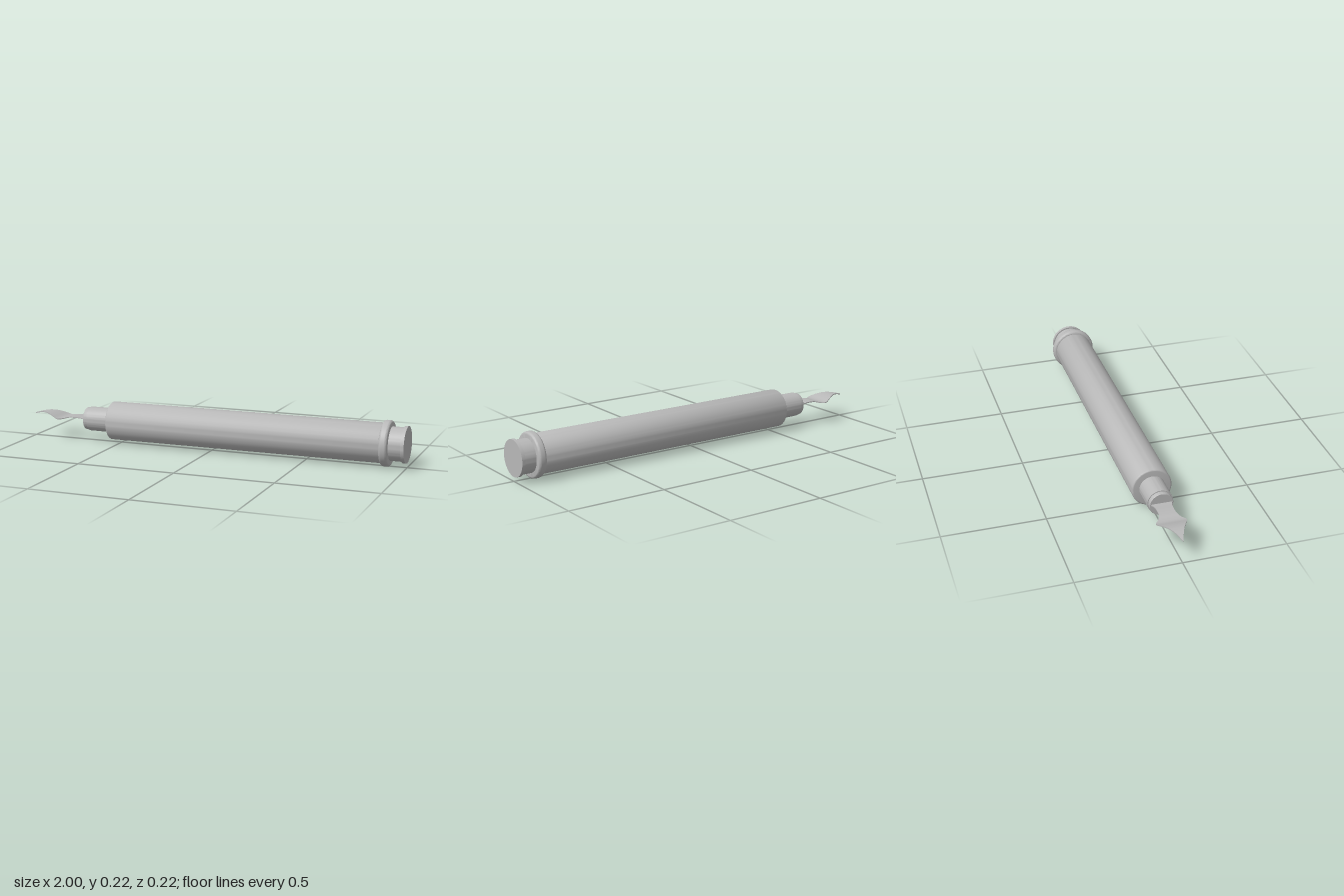
import * as THREE from 'three';
import { toCreasedNormals } from 'three/addons/utils/BufferGeometryUtils.js';

const AXIS_Y = 0.113;

export function createModel() {
  const group = new THREE.Group();
  const grey = new THREE.MeshStandardMaterial({ color: 0xb8b8b8, side: THREE.DoubleSide });
  grey.name = 'grey';

  // Turned part along x, from [x, radius] pairs running left to right
  function turned(name, profile) {
    const points = profile.map(([x, r]) => new THREE.Vector2(r, x));
    const lathe = new THREE.LatheGeometry(points, 64);
    lathe.rotateZ(-Math.PI / 2);
    const mesh = new THREE.Mesh(toCreasedNormals(lathe, 0.6), grey);
    mesh.name = name;
    mesh.position.y = AXIS_Y;
    group.add(mesh);
  }

  // Cylinder profile with rounded edges
  function rounded(x0, x1, r, bevel) {
    const profile = [[x0, 0]];
    for (let i = 0; i <= 5; i++) {
      const a = (i / 5) * Math.PI / 2;
      profile.push([x0 + bevel * (1 - Math.sin(a)), r - bevel * (1 - Math.cos(a))]);
    }
    const left = profile.slice(1).sort((a, b) => a[0] - b[0]);
    const right = left.map(([x, q]) => [x0 + x1 - x, q]).reverse();
    return [[x0, 0], ...left, ...right, [x1, 0]];
  }

  turned('barrel', rounded(-0.55, 0.9, 0.098, 0.008));
  turned('collar', rounded(0.88, 0.922, 0.112, 0.013));
  turned('neck', [[0.9, 0], [0.9, 0.083], [0.985, 0.083], [0.985, 0]]);
  turned('endCap', [[0.983, 0], [0.983, 0.09], [1, 0.09], [1, 0]]);
  turned('grip', [[-0.673, 0], [-0.673, 0.062], [-0.54, 0.063], [-0.54, 0]]);
  turned('ferrule', [[-0.695, 0], [-0.695, 0.056], [-0.69, 0.058], [-0.665, 0.058], [-0.665, 0]]);

  // Nib: thin wavy blade swept from [x, height, half width] stations
  const stations = [
    [-1, 0.119, 0.001], [-0.96, 0.13, 0.016], [-0.92, 0.134, 0.034],
    [-0.88, 0.127, 0.055], [-0.835, 0.112, 0.072], [-0.81, 0.112, 0.055],
    [-0.785, 0.118, 0.042], [-0.75, 0.12, 0.04], [-0.715, 0.119, 0.043],
    [-0.69, 0.119, 0.055],
  ];
  const heights = new THREE.CatmullRomCurve3(stations.map(([x, y]) => new THREE.Vector3(x, y, 0)));
  const widths = new THREE.CatmullRomCurve3(stations.map(([x, , w]) => new THREE.Vector3(x, w, 0)));
  const steps = 45;
  const nib = new THREE.BoxGeometry(1, 1, 1, steps, 1, 2);
  const pos = nib.attributes.position;
  for (let i = 0; i < pos.count; i++) {
    const t = THREE.MathUtils.clamp(pos.getX(i) + 0.5, 0, 1);
    const h = heights.getPoint(t);
    const w = Math.max(widths.getPoint(t).y, 0.001);
    pos.setXYZ(i, h.x, h.y + pos.getY(i) * 0.005, pos.getZ(i) * 2 * w);
  }
  const nibMesh = new THREE.Mesh(toCreasedNormals(nib, 0.6), grey);
  nibMesh.name = 'nib';
  group.add(nibMesh);

  return group;
}
